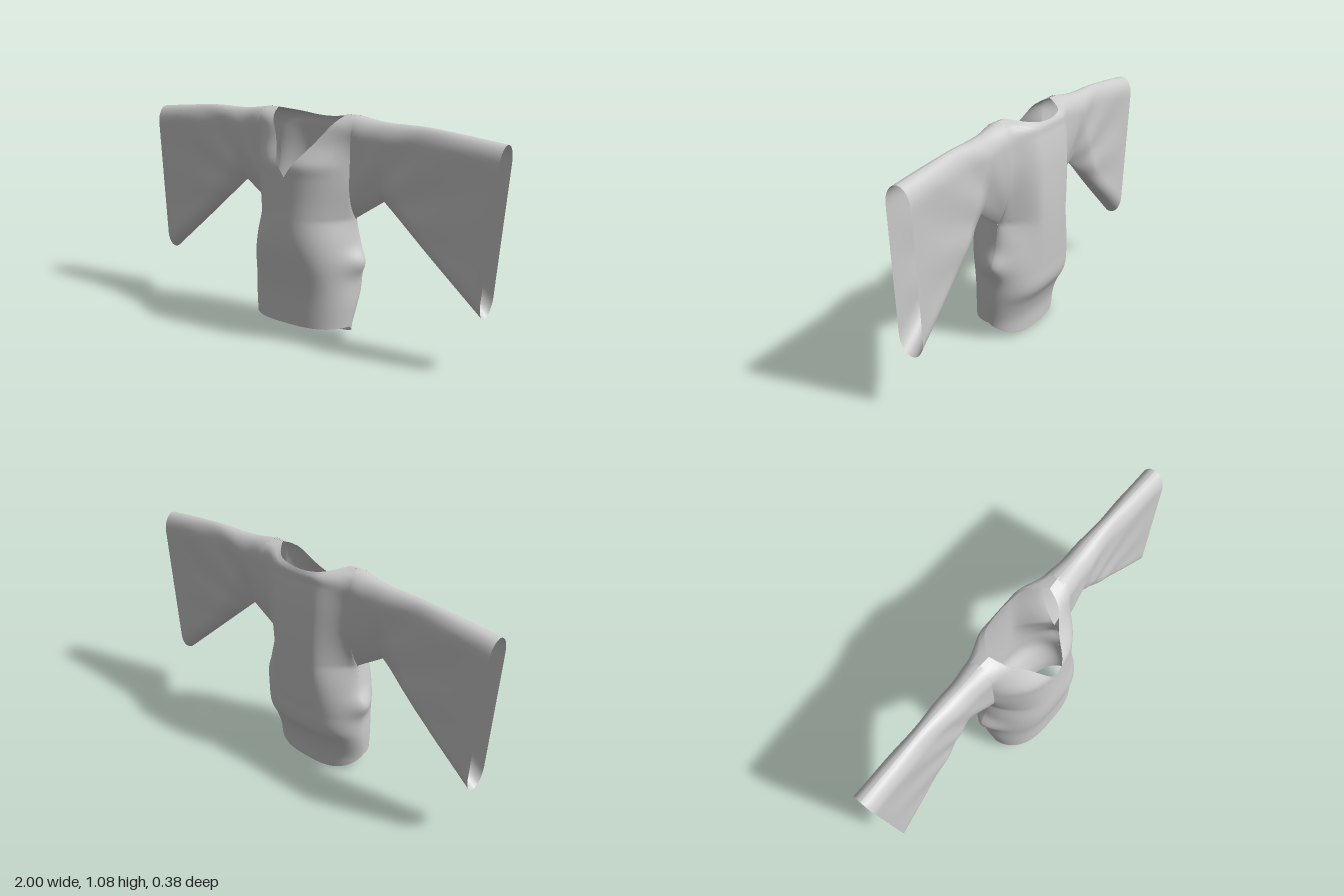
import * as THREE from 'three';

const { lerp, smoothstep } = THREE.MathUtils;
const cloth = new THREE.MeshStandardMaterial({ color: 0xcccccc, side: THREE.DoubleSide });

// Smooth curve through [position, value] pairs, clamped at its ends
function curve(pairs) {
  const c = new THREE.CubicInterpolant(pairs.map(p => p[0]), pairs.map(p => p[1]), 1);
  const lo = pairs[0][0], hi = pairs[pairs.length - 1][0];
  return t => c.evaluate(Math.min(hi - 1e-6, Math.max(lo, t)))[0];
}

// Smooth sheet from a rule (i, j in 0..1) -> [x, y, z]
function sheet(name, ni, nj, rule) {
  const pos = [], idx = [];
  for (let j = 0; j <= nj; j++)
    for (let i = 0; i <= ni; i++) pos.push(...rule(i / ni, j / nj));
  for (let j = 0; j < nj; j++)
    for (let i = 0; i < ni; i++) {
      const a = j * (ni + 1) + i, d = a + ni + 1;
      idx.push(a, a + 1, d, a + 1, d + 1, d);
    }
  const g = new THREE.BufferGeometry();
  g.setAttribute('position', new THREE.Float32BufferAttribute(pos, 3));
  g.setIndex(idx);
  g.computeVertexNormals();
  const m = new THREE.Mesh(g, cloth);
  m.name = name;
  return m;
}

const ARMPIT = 0.605, SHOULDER = 1.087;
const NECK = Math.sin(13 / 24 * Math.PI / 2); // neck corner, as a share of half width

const halfWidth = curve([[0, 0.258], [0.09, 0.267], [0.2, 0.281], [0.32, 0.283], [0.5, 0.273],
  [ARMPIT, 0.262], [0.8, 0.267], [1.09, 0.272]]);
const frontDepth = curve([[0.08, 0.16], [0.25, 0.162], [0.48, 0.19], [0.7, 0.176], [0.8, 0.17],
  [0.86, 0.167], [0.89, 0.148], [0.95, 0.1], [1.0, 0.068], [1.05, 0.032], [1.087, -0.04]]);
const backDepth = curve([[0, -0.104], [0.1, -0.113], [0.18, -0.14], [0.25, -0.178], [0.35, -0.187],
  [0.85, -0.187], [1.0, -0.168], [1.05, -0.155], [1.07, -0.12], [1.087, -0.04]]);
const seamZ = curve([[0.08, 0.01], [0.3, -0.03], [ARMPIT, -0.04], [0.8, -0.048], [1.1, -0.048]]);

// Distance of a sleeve's surface from its middle plane: a rounded fold on top,
// and a fold below that is a long slope near the body (taper 1) or round (taper 0)
function thickness(y, bottom, top, half, taper, side) {
  const reach = lerp(0.09, side > 0 ? 0.2 : 0.32, taper);
  const k = Math.min(1, Math.max(0, 1 - (y - bottom) / reach));
  const m = Math.min(1, Math.max(0, 1 - (top - y) / 0.09));
  return half * Math.pow(1 - k * k, lerp(0.5, 0.85, taper)) * Math.sqrt(1 - m * m);
}
const ROOT = 0.074;

// Torso panel: side = 1 front, -1 back
function torsoPanel(name, side) {
  return sheet(name, 48, 80, (i, j) => {
    const u = Math.sin((i * 2 - 1) * Math.PI / 2) * side, a = Math.abs(u);
    const round = Math.pow(Math.max(0, 1 - a ** 3), 0.55);
    const n = Math.min(1, a / NECK);
    // deep V at the front, shallow scoop at the back
    const top = side > 0 ? lerp(0.8, SHOULDER, n) : lerp(1.05, SHOULDER, n * n);
    const hem = side > 0 ? 0.088 : 0.085 - 0.08 * round;
    const y = lerp(hem, top, j);
    const upper = smoothstep(y, 0.35, 0.8);
    const full = side > 0 ? 1 - a ** 2.5 : 1 - smoothstep(a, 0.38, 1.02);
    const edge = seamZ(y) + (y > ARMPIT ? side * thickness(y, ARMPIT, SHOULDER, ROOT, 1, side) : 0);
    const depth = side > 0 ? frontDepth(y) : backDepth(y);
    // gathered cloth at the hip seam
    const pleat = 0.034 * a ** 14 * Math.exp(-(((y - 0.4) / 0.06) ** 2));
    return [u * (halfWidth(y) + pleat), y, lerp(edge, depth, lerp(round, full, upper))];
  });
}

// Wide hanging sleeve, open at the cuff: s runs from inside the shoulder to the cuff
const ELBOW = 0.2;
const lowX = s => s < ELBOW ? lerp(0.252, 0.412, s / ELBOW) : lerp(0.412, 0.938, (s - ELBOW) / (1 - ELBOW));
const lowY = s => s < ELBOW ? lerp(0.6, 0.705, s / ELBOW) : lerp(0.705, 0.26, (s - ELBOW) / (1 - ELBOW));
const topX = s => lerp(0.26, 1, s);
const topY = curve([[0, SHOULDER], [0.2, 1.067], [0.5, 1.063], [0.75, 1.047], [1, 1.028]]);
const sleeveHalf = curve([[0, ROOT], [0.03, ROOT], [0.15, 0.065], [0.5, 0.053], [0.8, 0.055], [1, 0.06]]);

function sleeve(name, side) {
  return sheet(name, 64, 40, (i, s) => {
    const a = i * Math.PI * 2 * side, h = (Math.cos(a) + 1) / 2;
    const y = lerp(lowY(s), topY(s), h), x = lerp(lowX(s), topX(s), h);
    const front = Math.sin(a) * side >= 0 ? 1 : -1;
    const taper = 1 - smoothstep(s, 0.15, 0.55);
    const half = thickness(y, lowY(s), topY(s), sleeveHalf(s), taper, front);
    const mid = lerp(seamZ(y), lerp(-0.047, -0.058, h), smoothstep(s, 0, 0.4));
    // creases fanning from the armpit
    const fan = Math.atan2(y - 0.6, x - 0.2);
    const crease = 0.004 * Math.sin(fan * 14) * Math.sin(Math.PI * s) * half / 0.06;
    return [x * side, y, mid + front * (half + crease)];
  });
}

export function createModel() {
  const model = new THREE.Group();
  model.name = 'robe';
  model.add(
    torsoPanel('frontPanel', 1),
    torsoPanel('backPanel', -1),
    sleeve('leftSleeve', 1),
    sleeve('rightSleeve', -1)
  );
  return model;
}
